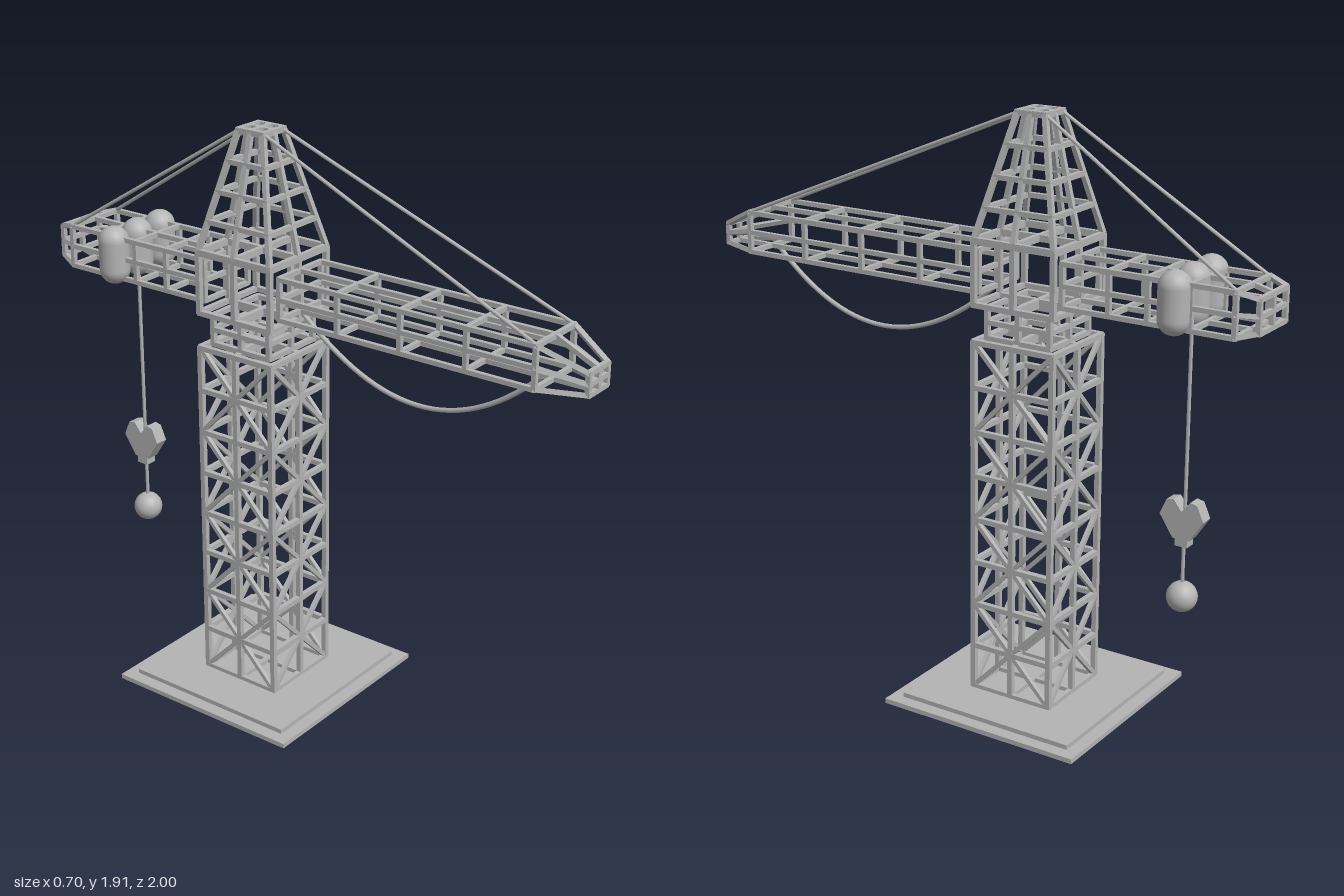
import * as THREE from 'three';
import { mergeGeometries } from 'three/addons/utils/BufferGeometryUtils.js';

const steel = new THREE.MeshStandardMaterial({ color: 0xb4b4b4 });
steel.name = 'grey steel';

const ZC = -0.21; // tower axis
const LOAD_Z = -0.74; // hoist line and counterweights
const UP = new THREE.Vector3(0, 1, 0);
const V = (x, y, z) => new THREE.Vector3(x, y, z);

// Square bar between two points
function bar(a, b, t) {
  const d = b.clone().sub(a);
  const g = new THREE.BoxGeometry(t, d.length() + t * 0.5, t);
  g.applyQuaternion(new THREE.Quaternion().setFromUnitVectors(UP, d.normalize()));
  return g.translate((a.x + b.x) / 2, (a.y + b.y) / 2, (a.z + b.z) / 2);
}

// Thin round cable between two points
function cable(a, b, r) {
  return new THREE.TubeGeometry(new THREE.LineCurve3(a, b), 1, r, 8);
}

// Rings of eight points: corners at even indices, edge middles at odd ones
const DIRS = [[-1, -1], [0, -1], [1, -1], [1, 0], [1, 1], [0, 1], [-1, 1], [-1, 0]];
const ringY = (y, hx, hz) => DIRS.map(([i, j]) => V(i * hx, y, ZC + j * hz));
const ringZ = (z, hx, y0, y1) =>
  DIRS.map(([i, j]) => V(i * hx, (y0 + y1) / 2 + (j * (y1 - y0)) / 2, z));

// Open lattice through a row of rings, with crossed bars on both ends
function lattice(rings, t) {
  const out = [];
  rings.forEach((r, n) => {
    for (let i = 0; i < 8; i++) {
      out.push(bar(r[i], r[(i + 1) % 8], t));
      if (n) out.push(bar(rings[n - 1][i], r[i], t));
    }
  });
  for (const r of [rings[0], rings[rings.length - 1]]) {
    out.push(bar(r[1], r[5], t), bar(r[3], r[7], t));
  }
  return out;
}

export function createModel() {
  const group = new THREE.Group();
  const add = (name, geos) => {
    const mesh = new THREE.Mesh(Array.isArray(geos) ? mergeGeometries(geos) : geos, steel);
    mesh.name = name;
    group.add(mesh);
    return mesh;
  };

  // Stepped base
  add('basePlate', new THREE.BoxGeometry(0.705, 0.016, 0.705).translate(0, 0.008, ZC - 0.005));
  add('baseStep', new THREE.BoxGeometry(0.62, 0.016, 0.62).translate(0, 0.023, ZC - 0.005));

  // Tower: eight levels, with a large cross over each pair
  const levels = [];
  for (let i = 0; i <= 8; i++) levels.push(ringY(0.036 + i * 0.146, 0.142, 0.142));
  const tower = lattice(levels, 0.017);
  for (let i = 0; i < 8; i += 2) {
    for (let c = 0; c < 8; c += 2) {
      const d = (c + 2) % 8;
      tower.push(bar(levels[i][c], levels[i + 2][d], 0.014));
      tower.push(bar(levels[i][d], levels[i + 2][c], 0.014));
    }
  }
  add('tower', tower);

  // Turning neck, cage and tapered head
  add('neck', lattice([1.215, 1.265, 1.31].map(y => ringY(y, 0.112, 0.112)), 0.016));
  add('cage', lattice([ringY(1.322, 0.142, 0.142), ringY(1.52, 0.142, 0.142)], 0.017));
  const head = [];
  for (let i = 0; i <= 4; i++) {
    const h = 0.142 - 0.093 * (i / 4);
    head.push(ringY(1.525 + i * 0.095, h, h));
  }
  add('head', lattice(head, 0.016));

  // Head cap with four round holes
  const cap = new THREE.Shape([[-1, -1], [1, -1], [1, 1], [-1, 1]]
    .map(([x, y]) => new THREE.Vector2(x * 0.056, y * 0.056)));
  for (const x of [-0.025, 0.025]) {
    for (const y of [-0.025, 0.025]) {
      cap.holes.push(new THREE.Path().absarc(x, y, 0.019, 0, Math.PI * 2, true));
    }
  }
  const capGeo = new THREE.ExtrudeGeometry(cap, { depth: 0.014, bevelEnabled: false, curveSegments: 8 });
  add('headCap', capGeo.rotateX(-Math.PI / 2).translate(0, 1.901, ZC));

  // Long jib with tapered tip
  const jib = [-0.06, 0.16, 0.39, 0.62, 0.85].map(z => ringZ(z, 0.105, 1.353, 1.485));
  jib.push(ringZ(0.992, 0.052, 1.353, 1.42));
  add('jib', lattice(jib, 0.015));

  // Short counter jib
  const counterJib = [-0.36, -0.52, -0.65, -0.79, -0.93].map(z => ringZ(z, 0.107, 1.35, 1.485));
  counterJib.push(ringZ(-0.993, 0.085, 1.368, 1.468));
  add('counterJib', lattice(counterJib, 0.015));

  // Stay cables
  for (const [s, side] of [[1, 'left'], [-1, 'right']]) {
    add(side + 'FrontStay', cable(V(s * 0.045, 1.905, -0.16), V(s * 0.103, 1.487, 0.85), 0.006));
    add(side + 'RearStay', cable(V(s * 0.045, 1.905, -0.26), V(s * 0.103, 1.487, -0.93), 0.006));
  }

  // Slack cable below the jib
  const slack = new THREE.QuadraticBezierCurve3(V(0, 1.355, 0.82), V(0, 0.94, 0.4), V(0, 1.355, -0.06));
  add('slackCable', new THREE.TubeGeometry(slack, 32, 0.008, 8));

  // Capsule counterweights
  for (const x of [-0.112, 0, 0.112]) {
    add('counterweight', new THREE.CapsuleGeometry(0.051, 0.093, 8, 20).translate(x, 1.426, LOAD_Z));
  }

  // Hoist line with grab and ball
  add('hoistLine', cable(V(0, 1.36, LOAD_Z), V(0, 0.47, LOAD_Z), 0.006));
  const half = [[0, 0.755], [0.028, 0.79], [0.052, 0.785], [0.074, 0.735], [0.028, 0.665]];
  const grab = new THREE.Shape([
    ...half.map(([x, y]) => new THREE.Vector2(x, y)),
    ...half.slice(1).reverse().map(([x, y]) => new THREE.Vector2(-x, y)),
  ]);
  const grabGeo = new THREE.ExtrudeGeometry(grab, { depth: 0.046, bevelEnabled: false });
  add('grab', grabGeo.translate(0, 0, -0.023).rotateY(Math.PI / 2).translate(0, 0, LOAD_Z));
  add('grabCollar', new THREE.BoxGeometry(0.04, 0.028, 0.042).translate(0, 0.654, LOAD_Z));
  add('hoistBall', new THREE.SphereGeometry(0.049, 24, 16).translate(0, 0.47, LOAD_Z));

  return group;
}
